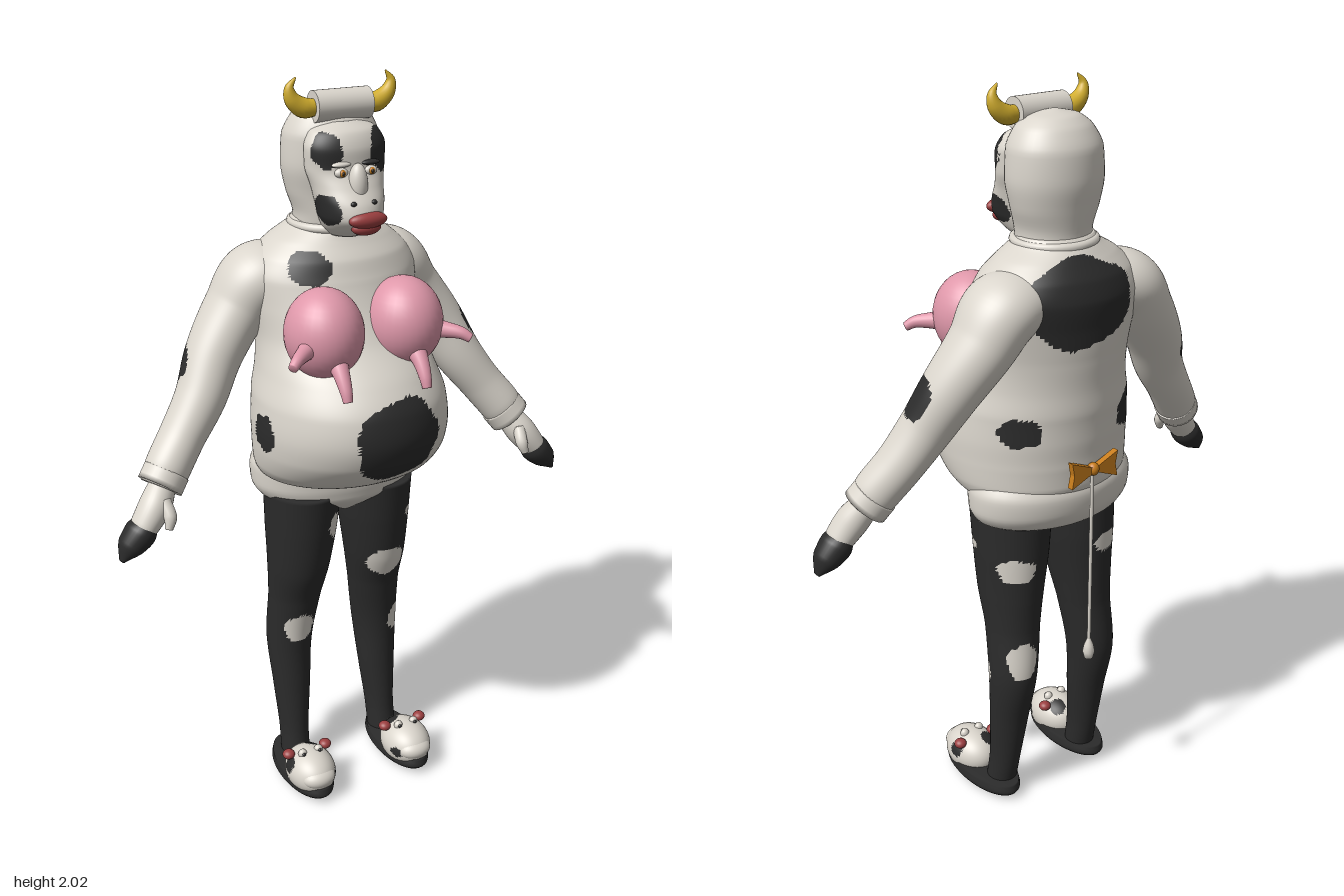
import * as THREE from 'three';

const mat = (name, color) => Object.assign(new THREE.MeshStandardMaterial({ color }), { name });
const white = mat('warm white', 0xdad5cc), black = mat('charcoal', 0x2b2b2b), pink = mat('pink', 0xdf98aa);
const gold = mat('horn gold', 0xd2ae2e), orange = mat('bow orange', 0xc87d1c), red = mat('lip red', 0x9c3f40);

// Smooth skin through rows [x, y, z, radiusA, radiusB]; flat keeps the rings horizontal
function loft(rows, { flat = false, steps = 24, sides = 32 } = {}) {
  const path = new THREE.CatmullRomCurve3(rows.map(r => new THREE.Vector3(r[0], r[1], r[2])));
  const size = new THREE.CatmullRomCurve3(rows.map(r => new THREE.Vector3(r[3], r[4], 0)));
  const pos = [], index = [], z = new THREE.Vector3(0, 0, 1);
  for (let i = -1; i <= steps + 1; i++) {
    const k = Math.min(Math.max(i / steps, 0), 1), closed = i < 0 || i > steps;
    const c = path.getPoint(k), s = size.getPoint(k).multiplyScalar(closed ? 0 : 1);
    const t = flat ? new THREE.Vector3(0, 1, 0) : path.getTangent(k);
    const u = t.clone().cross(z).normalize(), v = u.clone().cross(t);
    for (let j = 0; j < sides; j++) {
      const a = j / sides * Math.PI * 2;
      const p = c.clone().addScaledVector(u, s.x * Math.cos(a)).addScaledVector(v, s.y * Math.sin(a));
      pos.push(p.x, p.y, p.z);
    }
  }
  for (let i = 0; i < steps + 2; i++) for (let j = 0; j < sides; j++) {
    const a = i * sides + j, b = i * sides + (j + 1) % sides;
    index.push(a, a + sides, b, b, a + sides, b + sides);
  }
  const g = new THREE.BufferGeometry();
  g.setAttribute('position', new THREE.Float32BufferAttribute(pos, 3));
  g.setIndex(index);
  g.computeVertexNormals();
  return g;
}

// Upright body part from rows [y, halfWidth, frontZ, backZ, centreX]
const upright = (rows, opts) => loft(rows.map(([y, w, f, b, x = 0]) => [x, y, (f + b) / 2, w, (f - b) / 2]), { flat: true, ...opts });

// Sort faces into two colour groups; spots are [x, y, z, rx, ry, rz]
function spotted(geometry, spots) {
  const src = geometry.toNonIndexed(), p = src.attributes.position, n = src.attributes.normal;
  const sets = [[], []];
  for (let i = 0; i < p.count; i += 3) {
    const c = [0, 1, 2].map(k => (p.array[i * 3 + k] + p.array[i * 3 + 3 + k] + p.array[i * 3 + 6 + k]) / 3);
    const hit = spots.some(s => {
      const d = [0, 1, 2].map(k => (c[k] - s[k]) / s[k + 3]);
      const wobble = 0.1 * Math.sin(5 * Math.atan2(d[1], d[0] + d[2]) + s[0] * 40);
      return d[0] ** 2 + d[1] ** 2 + d[2] ** 2 < 1 + wobble;
    });
    sets[hit ? 1 : 0].push(i, i + 1, i + 2);
  }
  src.setIndex([...sets[0], ...sets[1]]);
  src.addGroup(0, sets[0].length, 0);
  src.addGroup(sets[0].length, sets[1].length, 1);
  n.needsUpdate = true;
  return src;
}

export function createModel() {
  const model = new THREE.Group();
  const add = (name, geometry, material, parent = model) => {
    const m = new THREE.Mesh(geometry, material);
    m.name = name;
    parent.add(m);
    return m;
  };
  const ball = (name, [x, y, z], [a, b, c], material) =>
    add(name, new THREE.SphereGeometry(1, 32, 20).scale(a, b, c).translate(x, y, z), material);

  // Big-bellied torso with patches
  add('torso', spotted(upright([
    [0.95, 0.19, 0.08, -0.2], [0.965, 0.23, 0.15, -0.238], [1, 0.25, 0.21, -0.25], [1.06, 0.26, 0.265, -0.255],
    [1.13, 0.262, 0.285, -0.26], [1.2, 0.255, 0.275, -0.265], [1.27, 0.235, 0.23, -0.265], [1.35, 0.222, 0.15, -0.27],
    [1.43, 0.23, 0.1, -0.275], [1.5, 0.235, 0.07, -0.28], [1.55, 0.21, 0.05, -0.265], [1.59, 0.165, 0.02, -0.235],
    [1.62, 0.115, 0, -0.21], [1.64, 0.1, -0.02, -0.19]], { steps: 110, sides: 128 }), [
    [0.025, 1.125, 0.28, 0.125, 0.12, 0.15], [0.25, 1.125, 0.1, 0.09, 0.055, 0.08], [0.2, 1.165, -0.2, 0.08, 0.042, 0.055],
    [-0.19, 1.17, -0.2, 0.1, 0.06, 0.1], [-0.26, 1.12, 0.04, 0.06, 0.05, 0.05], [-0.12, 1.54, 0.04, 0.055, 0.045, 0.08],
    [0.04, 1.5, -0.27, 0.165, 0.115, 0.12]]), [white, black]);

  // Briefs
  add('briefs', upright([[0.825, 0.025, 0, -0.12], [0.86, 0.13, 0.045, -0.19], [0.885, 0.22, 0.068, -0.228],
    [0.92, 0.241, 0.075, -0.245], [0.97, 0.243, 0.08, -0.25], [1.01, 0.225, 0.08, -0.235]], { sides: 48 }), white);

  // Neck, hood and collar
  add('hood', upright([[1.6, 0.1, -0.01, -0.19], [1.65, 0.1, 0, -0.19], [1.71, 0.118, 0, -0.2], [1.78, 0.13, 0.012, -0.21],
    [1.85, 0.126, 0.01, -0.206], [1.9, 0.1, -0.01, -0.18], [1.925, 0.065, -0.04, -0.15], [1.937, 0.012, -0.085, -0.105]],
    { steps: 40, sides: 48 }), white);
  add('collar', new THREE.TorusGeometry(0.102, 0.012, 10, 48).rotateX(Math.PI / 2).translate(0, 1.622, -0.1), white);

  // Face with a jutting muzzle and eye patches
  add('face', spotted(upright([[1.61, 0.045, 0.04, -0.08], [1.635, 0.065, 0.085, -0.08], [1.665, 0.08, 0.112, -0.08],
    [1.7, 0.087, 0.105, -0.08], [1.74, 0.095, 0.078, -0.08], [1.78, 0.106, 0.055, -0.08], [1.83, 0.108, 0.053, -0.08],
    [1.87, 0.09, 0.035, -0.08], [1.89, 0.05, 0.0, -0.08]], { steps: 60, sides: 80 }), [
    [0.08, 1.825, 0.04, 0.038, 0.055, 0.08], [-0.07, 1.83, 0.04, 0.035, 0.045, 0.08],
    [-0.075, 1.685, 0.04, 0.03, 0.04, 0.06], [0.085, 1.68, 0.03, 0.03, 0.04, 0.05]]), [white, black]);
  ball('snoutBridge', [0, 1.745, 0.062], [0.025, 0.055, 0.026], white);
  ball('upperLip', [0.008, 1.667, 0.103], [0.052, 0.021, 0.022], red);
  ball('lowerLip', [0.008, 1.645, 0.092], [0.04, 0.019, 0.022], red);

  // Rolled forelock between the horns
  add('forelockRoll', new THREE.CylinderGeometry(0.039, 0.039, 0.15, 32).rotateZ(Math.PI / 2).translate(0, 1.926, -0.035), white);

  for (const s of [1, -1]) {
    const side = s > 0 ? 'left' : 'right';
    const mirror = rows => rows.map(r => [r[0] * s, ...r.slice(1)]);
    const shiftX = rows => rows.map(r => [...r.slice(0, 4), r[4] * s]);

    // Horn, eye, brow and nostril
    add(side + 'Horn', loft(mirror([[0.065, 1.925, -0.035, 0.02, 0.02], [0.1, 1.925, -0.037, 0.025, 0.025],
      [0.13, 1.947, -0.036, 0.02, 0.02], [0.138, 1.975, -0.034, 0.012, 0.012], [0.122, 2, -0.032, 0.002, 0.002]]), { sides: 20 }), gold);
    ball(side + 'Eye', [0.04 * s, 1.777, 0.05], [0.018, 0.012, 0.012], white);
    ball(side + 'Iris', [0.04 * s, 1.777, 0.059], [0.008, 0.009, 0.006], orange);
    ball(side + 'Pupil', [0.04 * s, 1.777, 0.064], [0.004, 0.005, 0.003], black);
    ball(side + 'Brow', [0.04 * s, 1.797, 0.05], [0.026, 0.007, 0.012], s > 0 ? black : white);
    ball(side + 'Nostril', [0.028 * s, 1.708, 0.096], [0.008, 0.006, 0.006], black);

    // Udder with two teats
    ball(side + 'Udder', [0.113 * s, 1.39, 0.1], [0.102, 0.118, 0.11], pink);
    add(side + 'FrontTeat', loft(mirror([[0.11, 1.345, 0.16, 0.03, 0.03], [0.112, 1.31, 0.2, 0.021, 0.021],
      [0.112, 1.275, 0.225, 0.016, 0.016], [0.112, 1.25, 0.235, 0.012, 0.012]]), { sides: 20 }), pink);
    add(side + 'SideTeat', loft(mirror([[0.16, 1.375, 0.13, 0.03, 0.03], [0.2, 1.373, 0.17, 0.021, 0.021],
      [0.23, 1.368, 0.197, 0.016, 0.016], [0.25, 1.355, 0.212, 0.012, 0.012]]), { sides: 20 }), pink);

    // Arm, hand and hoof
    add(side + 'Arm', spotted(loft(mirror([[0.11, 1.5, -0.13, 0.075, 0.1], [0.195, 1.48, -0.14, 0.09, 0.11],
      [0.255, 1.405, -0.14, 0.082, 0.095], [0.33, 1.3, -0.115, 0.075, 0.08], [0.385, 1.2, -0.08, 0.067, 0.07],
      [0.45, 1.11, -0.055, 0.06, 0.065], [0.5, 1.045, -0.03, 0.06, 0.062], [0.53, 1, -0.015, 0.052, 0.052]]),
      { steps: 72, sides: 64 }), s > 0 ? [[0.425, 1.3, -0.09, 0.055, 0.065, 0.05]] : [[-0.42, 1.28, -0.14, 0.055, 0.05, 0.055]]), [white, black]);
    add(side + 'Cuff', loft(mirror([[0.505, 1.035, -0.027, 0.061, 0.061], [0.53, 1.002, -0.015, 0.061, 0.061]]), { steps: 4 }), white);
    add(side + 'Hand', loft(mirror([[0.52, 1.01, -0.015, 0.035, 0.035], [0.555, 0.96, 0.01, 0.042, 0.045],
      [0.59, 0.915, 0.02, 0.036, 0.042], [0.61, 0.89, 0.022, 0.02, 0.03]])), white);
    add(side + 'Thumb', loft(mirror([[0.535, 0.98, 0.03, 0.018, 0.018], [0.53, 0.945, 0.057, 0.017, 0.017],
      [0.538, 0.915, 0.066, 0.01, 0.01]]), { sides: 16 }), white);
    add(side + 'HandHoof', loft(mirror([[0.582, 0.925, 0.018, 0.03, 0.04], [0.6, 0.9, 0.02, 0.041, 0.047],
      [0.63, 0.868, 0.022, 0.034, 0.04], [0.657, 0.832, 0.025, 0.006, 0.012]])), black);

    // Patched leg
    add(side + 'Leg', spotted(upright(shiftX([[0.03, 0.042, -0.01, -0.1, 0.145], [0.1, 0.042, -0.02, -0.115, 0.143],
      [0.25, 0.054, -0.03, -0.143, 0.14], [0.4, 0.065, -0.03, -0.175, 0.138], [0.55, 0.074, -0.005, -0.166, 0.126],
      [0.65, 0.085, 0.03, -0.17, 0.12], [0.78, 0.098, 0.052, -0.178, 0.113], [0.9, 0.106, 0.065, -0.18, 0.109]]),
      { steps: 90, sides: 60 }), s > 0 ? [
      [0.115, 0.64, 0.03, 0.06, 0.05, 0.06], [0.19, 0.795, 0.0, 0.035, 0.017, 0.05], [0.18, 0.41, -0.05, 0.035, 0.045, 0.04],
      [0.17, 0.75, -0.16, 0.06, 0.035, 0.05], [0.15, 0.47, -0.17, 0.045, 0.055, 0.05]] : [
      [-0.135, 0.46, -0.02, 0.05, 0.045, 0.05], [-0.05, 0.8, 0.04, 0.025, 0.04, 0.05], [-0.14, 0.76, -0.17, 0.05, 0.03, 0.05]]), [black, white]);

    // Animal slipper: sole, patched upper, ears and eyes
    add(side + 'Sole', upright(shiftX([[0, 0.066, 0.165, -0.125, 0.157], [0.012, 0.072, 0.175, -0.132, 0.157],
      [0.034, 0.068, 0.168, -0.127, 0.157]]), { steps: 8, sides: 48 }), black);
    add(side + 'Slipper', spotted(new THREE.SphereGeometry(1, 56, 40).scale(0.07, 0.065, 0.09).translate(0.157 * s, 0.048, 0.078), [
      [0.21 * s, 0.07, 0.07, 0.025, 0.025, 0.025], [0.13 * s, 0.1, 0.03, 0.025, 0.03, 0.025],
      [0.11 * s, 0.05, 0.12, 0.02, 0.018, 0.025]]), [white, black]);
    ball(side + 'SlipperMuzzle', [0.157 * s, 0.055, 0.135], [0.05, 0.03, 0.038], white);
    for (const e of [1, -1]) {
      const x = 0.157 * s + 0.058 * e;
      ball(side + 'SlipperEar', [x, 0.1, 0.055], [0.018, 0.014, 0.018], red);
      ball(side + 'SlipperEye', [0.157 * s + 0.025 * e, 0.108, 0.08], [0.013, 0.014, 0.012], white);
      ball(side + 'SlipperPupil', [0.157 * s + 0.025 * e, 0.11, 0.09], [0.006, 0.006, 0.005], black);
    }
  }

  // Bow, tail cord and tassel
  const bow = new THREE.Shape([[-0.075, -0.036], [-0.012, -0.01], [0.012, -0.01], [0.075, -0.036],
    [0.068, 0, 0], [0.075, 0.036], [0.012, 0.01], [-0.012, 0.01], [-0.075, 0.036], [-0.068, 0]].map(p => new THREE.Vector2(p[0], p[1])));
  add('tailBow', new THREE.ExtrudeGeometry(bow, { depth: 0.018, bevelEnabled: false }).translate(0, 1.05, -0.277), orange);
  ball('bowKnot', [0, 1.05, -0.268], [0.016, 0.018, 0.016], orange);
  add('tailCord', new THREE.CylinderGeometry(0.005, 0.005, 0.53, 10).translate(0, 0.785, -0.265), white);
  add('tailTassel', new THREE.LatheGeometry([[0, 0.475], [0.012, 0.48], [0.017, 0.5], [0.013, 0.52], [0.005, 0.54]]
    .map(p => new THREE.Vector2(p[0], p[1])), 16).translate(0, 0, -0.265), white);
  return model;
}
